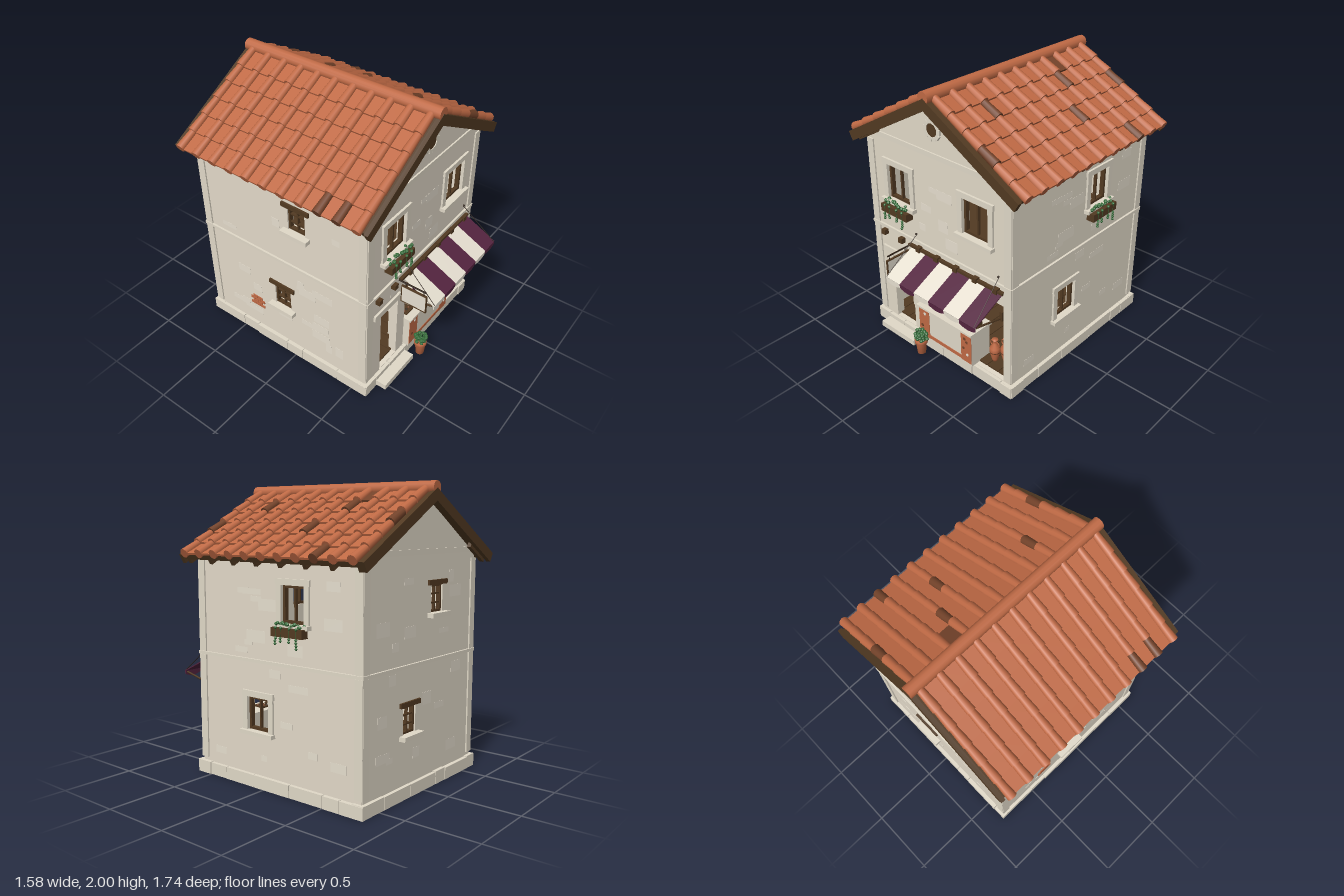
import * as THREE from 'three';

const mat = (name, color) => Object.assign(new THREE.MeshStandardMaterial({ color }), { name });
const M = {
  plaster: mat('plaster', 0xe3dac9), patch: mat('plaster patch', 0xe9e1d1), stone: mat('pale stone', 0xe1d9c8),
  tile: mat('terracotta', 0xc06a45), burnt: mat('burnt tile', 0x74432a), wood: mat('dark wood', 0x523a22),
  iron: mat('iron', 0x2d2016), purple: mat('purple cloth', 0x54243f), cream: mat('cream cloth', 0xe9e2d3),
  leaf: mat('leaf green', 0x376e3b),
};

let seed = 7;
const rand = () => (seed = (seed * 16807) % 2147483647) / 2147483647;

function add(parent, name, geo, m, x = 0, y = 0, z = 0) {
  const mesh = new THREE.Mesh(geo, m);
  mesh.name = name;
  mesh.position.set(x, y, z);
  parent.add(mesh);
  return mesh;
}
const box = (p, name, m, w, h, d, x, y, z) => add(p, name, new THREE.BoxGeometry(w, h, d), m, x, y, z);
// box given by its limits
const span = (p, name, m, x0, x1, y0, y1, z0, z1) =>
  box(p, name, m, x1 - x0, y1 - y0, z1 - z0, (x0 + x1) / 2, (y0 + y1) / 2, (z0 + z1) / 2);
function group(parent, name, x = 0, y = 0, z = 0) {
  const g = new THREE.Group();
  g.name = name;
  g.position.set(x, y, z);
  parent.add(g);
  return g;
}
function rod(p, name, m, a, b, r) {
  const curve = new THREE.LineCurve3(new THREE.Vector3(...a), new THREE.Vector3(...b));
  return add(p, name, new THREE.TubeGeometry(curve, 1, r, 6), m);
}
const lathe = (p, name, m, pts, x, y, z) =>
  add(p, name, new THREE.LatheGeometry(pts.map(q => new THREE.Vector2(...q)), 16), m, x, y, z);
const leafBall = (p, r, x, y, z) => add(p, 'leaf', new THREE.IcosahedronGeometry(r, 0), M.leaf, x, y, z);

// One house face in local coordinates; holes are [u0, u1, y0, y1]
function face(parent, name, half, gable, holes, pos, turn) {
  const g = group(parent, name, ...pos);
  g.rotation.y = turn;
  const s = new THREE.Shape();
  s.moveTo(-half, 0.03); s.lineTo(half, 0.03); s.lineTo(half, 1.53);
  if (gable) s.lineTo(0, 1.91);
  s.lineTo(-half, 1.53);
  for (const [a, b, c, d] of holes) {
    const h = new THREE.Path();
    h.moveTo(a, c); h.lineTo(a, d); h.lineTo(b, d); h.lineTo(b, c);
    s.holes.push(h);
  }
  add(g, 'wall', new THREE.ExtrudeGeometry(s, { depth: 0.06, bevelEnabled: false }), M.plaster, 0, 0, -0.06);
  for (const k of [-1, 1]) for (const [y0, y1] of [[0.11, 0.84], [0.865, 1.5]])
    box(g, 'corner pilaster', M.stone, 0.06, y1 - y0, 0.012, k * (half - 0.02), (y0 + y1) / 2, 0.004);
  box(g, 'floor band', M.stone, half * 2 + 0.03, 0.022, 0.015, 0, 0.853, 0.0075);
  if (gable) box(g, 'gable band', M.stone, 1.26, 0.035, 0.012, 0, 1.56, 0.005);
  // plinth blocks of uneven size
  for (let u = -half - 0.03; u < half + 0.025;) {
    let e = Math.min(u + 0.12 + rand() * 0.2, half + 0.03);
    if (half + 0.03 - e < 0.08) e = half + 0.03;
    span(g, 'plinth block', M.stone, u + 0.002, e - 0.002, 0, 0.082 + rand() * 0.006, -0.06, 0.022 + rand() * 0.008);
    u = e;
  }
  // slightly paler plaster patches, clear of the openings
  for (let i = 0; i < 22; i++) {
    const w = 0.05 + rand() * 0.13, h = 0.03 + rand() * 0.06;
    const u = (rand() - 0.5) * (half * 2 - 0.34), y = 0.18 + rand() * 1.22;
    const hit = holes.some(([a, b, c, d]) => u + w / 2 > a - 0.05 && u - w / 2 < b + 0.05 && y + h / 2 > c - 0.05 && y - h / 2 < d + 0.05);
    if (!hit && Math.abs(y - 0.853) > 0.06) box(g, 'plaster patch', M.patch, w, h, 0.002, u, y, 0);
  }
  return g;
}

// Wooden frame with bars inside an opening
function sash(g, [a, b, c, d], t, cols, rows) {
  for (const x of [a + t / 2, b - t / 2]) box(g, 'window stile', M.wood, t, d - c, 0.03, x, (c + d) / 2, -0.025);
  for (const y of [c + t / 2, d - t / 2]) box(g, 'window rail', M.wood, b - a, t, 0.028, (a + b) / 2, y, -0.025);
  for (let i = 1; i < cols; i++) box(g, 'window bar', M.wood, t * 0.7, d - c, 0.02, a + (b - a) * i / cols, (c + d) / 2, -0.025);
  for (let i = 1; i < rows; i++) box(g, 'window bar', M.wood, b - a, t * 0.7, 0.018, (a + b) / 2, c + (d - c) * i / rows, -0.025);
}
function dressedWindow(g, o) {
  const [a, b, c, d] = o;
  sash(g, o, 0.018, 2, 1);
  for (const [x0, x1] of [[a - 0.04, a], [b, b + 0.04]]) span(g, 'window jamb', M.stone, x0, x1, c, d, -0.01, 0.014);
  span(g, 'window head', M.stone, a - 0.045, b + 0.045, d, d + 0.04, -0.01, 0.016);
  span(g, 'window sill', M.stone, a - 0.05, b + 0.05, c - 0.026, c, -0.03, 0.04);
}
function rusticWindow(g, o) {
  const [a, b, c, d] = o;
  sash(g, o, 0.014, 2, 3);
  span(g, 'wooden lintel', M.wood, a - 0.04, b + 0.04, d, d + 0.032, -0.03, 0.015);
  span(g, 'window sill', M.stone, a - 0.04, b + 0.04, c - 0.03, c, -0.03, 0.045);
}
function flowerBox(g, u, y) {
  const f = group(g, 'flower box', u, y, 0.043);
  box(f, 'planter', M.wood, 0.256, 0.056, 0.058, 0, 0, 0);
  for (let i = 0; i < 14; i++) leafBall(f, 0.009 + rand() * 0.007, -0.11 + i * 0.017, 0.036 + rand() * 0.024, (rand() - 0.5) * 0.04);
  for (const [x, n] of [[-0.085, 3], [-0.04, 2], [0.03, 2], [0.085, 4]]) {
    rod(f, 'trailing stem', M.leaf, [x, 0.03, 0.032], [x, -0.03 - n * 0.016, 0.032], 0.0015);
    for (let i = 0; i < n; i++) leafBall(f, 0.01, x + (rand() - 0.5) * 0.01, -0.035 - i * 0.018, 0.033);
    leafBall(f, 0.011, x, 0.03, 0.03);
  }
}

function roof(parent) {
  const r = group(parent, 'roof', 0, 0, -0.0975);
  const step = 0.1415, len = 0.139;
  // burnt cover tiles as side:row:course
  const burntTiles = ['0:-5:2', '0:-3:5', '0:-2:1', '0:-1:3', '0:3:1', '0:5:3', '1:-3:5', '1:-4:5'];
  for (let side = 0; side < 2; side++) {
    const turn = group(r, 'roof side', 0, 1.95, 0);
    turn.rotation.y = side * Math.PI;
    const s = group(turn, 'roof slope');
    s.rotation.z = -0.513;
    span(s, 'roof boards', M.wood, 0, 0.855, -0.04, -0.004, -0.755, 0.755);
    for (const k of [-1, 1]) box(s, 'bargeboard', M.wood, 0.872, 0.068, 0.03, 0.43, -0.03, k * 0.762);
    for (let i = 0; i < 8; i++) box(s, 'rafter tail', M.wood, 0.22, 0.035, 0.028, 0.74, -0.057, -0.72 + i * 0.2057);
    for (let c = 0; c < 6; c++) {
      const x = 0.035 + (c + 0.5) * len;
      for (let i = -5; i <= 5; i++) {
        const m = burntTiles.includes(`${side}:${i}:${c}`) ? M.burnt : M.tile;
        const t = add(s, 'cover tile', new THREE.CylinderGeometry(0.026, 0.033, len + 0.015, 12), m, x, 0.016, i * step);
        t.rotation.z = Math.PI / 2 + 0.05;
        if (i === 5) continue;
        const pan = box(s, 'pan tile', side === 0 && i === -3 && c === 0 ? M.burnt : M.tile, len + 0.012, 0.014, step - 0.004, x, 0.008, (i + 0.5) * step);
        pan.rotation.z = 0.1;
      }
    }
  }
  const ridge = add(r, 'ridge cap', new THREE.CylinderGeometry(0.043, 0.043, 1.55, 12), M.tile, 0, 1.957, 0);
  ridge.rotation.x = Math.PI / 2;
}

function awning(parent) {
  const a = group(parent, 'awning');
  const w = 0.138, ang = 0.456;
  for (let i = 0; i < 6; i++) {
    const m = i % 2 ? M.purple : M.cream, x = -0.248 + (i + 0.5) * w;
    box(a, 'awning stripe', m, w, 0.007, 0.284, x, 0.738, 0.738).rotation.x = ang;
    const s = new THREE.Shape();
    s.moveTo(-w / 2, 0); s.lineTo(-w / 2, -0.026); s.quadraticCurveTo(0, -0.056, w / 2, -0.026); s.lineTo(w / 2, 0);
    add(a, 'valance', new THREE.ExtrudeGeometry(s, { depth: 0.006, bevelEnabled: false }), m, x, 0.676, 0.859);
  }
  span(a, 'awning beam', M.wood, -0.28, 0.59, 0.798, 0.815, 0.6, 0.63);
  for (const [top, x] of [[-0.21, -0.24], [0.54, 0.57]]) {
    rod(a, 'tie rod', M.iron, [top, 0.91, 0.6], [x, 0.68, 0.865], 0.0025);
    add(a, 'wall pin', new THREE.SphereGeometry(0.008, 8, 6), M.iron, top, 0.91, 0.61);
    rod(a, 'awning strut', M.wood, [x, 0.61, 0.61], [x, 0.668, 0.85], 0.007);
    span(a, 'strut bracket', M.wood, x - 0.01, x + 0.01, 0.59, 0.66, 0.6, 0.622);
  }
  // blank hanging board on an iron arm
  rod(a, 'board arm', M.iron, [-0.28, 0.797, 0.6], [-0.28, 0.797, 0.82], 0.006);
  span(a, 'hanging board', M.cream, -0.285, -0.275, 0.63, 0.76, 0.635, 0.82);
  for (const z of [0.66, 0.8]) rod(a, 'board hanger', M.iron, [-0.28, 0.76, z], [-0.28, 0.797, z], 0.003);
  for (const y of [0.627, 0.763]) span(a, 'board edge', M.wood, -0.287, -0.273, y - 0.004, y + 0.004, 0.635, 0.82);
  for (const z of [0.632, 0.822]) span(a, 'board edge', M.wood, -0.287, -0.273, 0.623, 0.767, z - 0.003, z + 0.003);
}

function amphora(p, x, z, k) {
  const g = group(p, 'amphora', x, 0.1, z);
  g.scale.setScalar(k);
  lathe(g, 'jar body', M.tile, [[0, 0], [0.018, 0], [0.024, 0.02], [0.04, 0.085], [0.037, 0.115], [0.016, 0.15], [0.016, 0.172], [0.023, 0.185], [0, 0.185]], 0, 0, 0);
  add(g, 'jar band', new THREE.CylinderGeometry(0.0405, 0.0385, 0.008, 16), M.burnt, 0, 0.082, 0);
  for (const s of [-1, 1]) add(g, 'jar handle', new THREE.TorusGeometry(0.022, 0.004, 6, 12), M.tile, s * 0.018, 0.145, 0);
}

function shop(parent) {
  const s = group(parent, 'shop');
  // counter with terracotta facing
  span(s, 'counter', M.stone, -0.18, 0.33, 0.09, 0.35, 0.47, 0.65);
  span(s, 'counter top', M.stone, -0.195, 0.34, 0.35, 0.365, 0.455, 0.665);
  for (const [a, b, c, d] of [[-0.18, -0.08, 0.11, 0.345], [0.235, 0.33, 0.11, 0.345], [-0.08, 0.235, 0.115, 0.142]])
    span(s, 'facing panel', M.tile, a, b, c, d, 0.65, 0.654);
  for (const [x, y, m] of [[-0.12, 0.31, M.cream], [-0.15, 0.2, M.burnt], [0.27, 0.3, M.burnt], [0.29, 0.28, M.burnt], [0.295, 0.175, M.cream], [0.26, 0.22, M.burnt]])
    add(s, 'inlay chip', new THREE.CylinderGeometry(0.012, 0.012, 0.004, 6), m, x, y, 0.655).rotation.x = Math.PI / 2;
  for (const x of [-0.12, -0.02, 0.1]) {
    box(s, 'tray', M.wood, 0.085, 0.01, 0.1, x, 0.37, 0.56);
    for (let i = 0; i < 6; i++) add(s, 'goods', new THREE.SphereGeometry(0.009, 8, 6), i % 2 ? M.burnt : M.iron, x - 0.026 + (i % 3) * 0.026, 0.374, 0.54 + Math.floor(i / 3) * 0.04);
  }
  box(s, 'counter box', M.wood, 0.07, 0.045, 0.06, 0.275, 0.388, 0.55);
  rod(s, 'scale post', M.iron, [0.245, 0.365, 0.52], [0.245, 0.46, 0.52], 0.003);
  rod(s, 'scale arm', M.iron, [0.2, 0.45, 0.52], [0.29, 0.45, 0.52], 0.002);
  // back shelves
  for (const x of [-0.16, 0.31]) span(s, 'shelf post', M.wood, x - 0.01, x + 0.01, 0.09, 0.565, -0.72, -0.6);
  for (const [y, a, b] of [[0.415, -0.17, 0.32], [0.55, -0.17, 0.07], [0.55, 0.23, 0.32], [0.36, -0.17, 0.32]])
    span(s, 'shelf', M.wood, a, b, y - 0.006, y + 0.006, -0.73, -0.6);
  for (let i = 0; i < 6; i++) lathe(s, 'bowl', i % 2 ? M.burnt : M.wood, [[0, 0], [0.008, 0], [0.015, 0.012], [0, 0.01]], -0.12 + i * 0.075, 0.421, -0.65);
  // banners under the awning
  for (const x of [0.003, 0.325]) {
    box(s, 'banner', M.purple, 0.145, 0.118, 0.006, x, 0.558, 0.59);
    for (const k of [-0.06, 0.06]) rod(s, 'banner cord', M.iron, [x + k, 0.61, 0.59], [x + k, 0.71, 0.59], 0.002);
    for (let i = 0; i < 7; i++) {
      const t = Math.PI * (1 + i / 6);
      add(s, 'banner bead', new THREE.OctahedronGeometry(0.007), M.burnt, x + 0.04 * Math.cos(t), 0.58 + 0.04 * Math.sin(t), 0.593);
    }
  }
  // doorway bench, keg and jars
  span(s, 'bench', M.stone, -0.48, -0.335, 0.09, 0.21, 0.3, 0.45);
  add(s, 'keg', new THREE.CylinderGeometry(0.033, 0.033, 0.095, 12), M.wood, -0.433, 0.245, 0.39).rotation.z = Math.PI / 2;
  for (const x of [-0.463, -0.403]) add(s, 'keg hoop', new THREE.CylinderGeometry(0.035, 0.035, 0.008, 12), M.iron, x, 0.245, 0.39).rotation.z = Math.PI / 2;
  amphora(s, 0.408, 0.5, 0.98);
  amphora(s, 0.478, 0.46, 1.08);
  span(s, 'wall shelf', M.wood, -0.58, -0.5, 0.465, 0.475, -0.03, 0.07);
  lathe(s, 'shelf jar', M.tile, [[0, 0], [0.014, 0], [0.023, 0.025], [0.014, 0.04], [0.018, 0.046], [0, 0.046]], -0.54, 0.475, 0.015);
  // street step and potted plant
  span(s, 'door step', M.stone, -0.55, -0.2, 0.012, 0.055, 0.6, 0.708);
  lathe(s, 'plant pot', M.tile, [[0, 0.01], [0.03, 0.01], [0.039, 0.1], [0.046, 0.1], [0.046, 0.125], [0.036, 0.125], [0, 0.118]], -0.112, 0, 0.71);
  for (let i = 0; i < 30; i++) {
    const t = i * 2.4, q = 0.042 * Math.sqrt(rand());
    leafBall(s, 0.015, -0.112 + q * Math.cos(t), 0.128 + rand() * 0.058, 0.71 + q * Math.sin(t));
  }
}

export function createModel() {
  const root = new THREE.Group();
  root.name = 'shop house';
  const fw = [[-0.46, -0.245, 1.105, 1.36], [0.24, 0.46, 1.105, 1.36]];
  const rw = [[0.065, 0.255, 1.12, 1.36], [-0.245, -0.055, 0.385, 0.61]];
  const bw = [[0.085, 0.225, 1.165, 1.345], [-0.22, -0.08, 0.415, 0.595]];
  const lw = [[0.075, 0.215, 1.165, 1.345], [-0.085, 0.055, 0.415, 0.595]];
  const front = face(root, 'front', 0.64, true, [...fw, [-0.48, -0.28, 0.09, 0.645], [-0.19, 0.583, 0.09, 0.7]], [0, 0, 0.605], 0);
  const back = face(root, 'back', 0.64, true, bw, [0, 0, -0.79], Math.PI);
  const right = face(root, 'window side', 0.692, false, rw, [0.645, 0, -0.095], Math.PI / 2);
  const left = face(root, 'brick side', 0.692, false, lw, [-0.645, 0, -0.095], -Math.PI / 2);
  for (const o of fw) dressedWindow(front, o);
  for (const o of rw) dressedWindow(right, o);
  for (const o of bw) rusticWindow(back, o);
  for (const o of lw) rusticWindow(left, o);
  flowerBox(front, -0.352, 1.05);
  flowerBox(right, 0.16, 1.072);

  // exposed bricks
  for (let r = 0; r < 4; r++) for (let i = 0; i < 3 - (r % 2); i++)
    box(left, 'exposed brick', M.tile, 0.042, 0.02, 0.008, -0.31 + i * 0.044 + (r % 2) * 0.022, 0.285 + r * 0.023, 0.003);

  // round gable vent
  add(front, 'vent', new THREE.CylinderGeometry(0.045, 0.045, 0.014, 20), M.wood, 0, 1.735, 0.004).rotation.x = Math.PI / 2;
  for (let i = 0; i < 10; i++) {
    const t = i * Math.PI / 5;
    box(front, 'vent stone', M.stone, 0.028, 0.036, 0.02, 0.058 * Math.cos(t), 1.735 + 0.058 * Math.sin(t), 0.006).rotation.z = t;
  }
  // door lintel and beam ends
  span(front, 'door lintel', M.stone, -0.565, -0.27, 0.64, 0.685, -0.02, 0.016);
  for (let i = 0; i < 7; i++) box(front, 'beam end', M.wood, 0.038, 0.038, 0.04, -0.532 + i * 0.177, 0.808, 0.014);

  // floors, underside and joists
  span(root, 'underside', M.wood, -0.6, 0.6, 0.008, 0.03, -0.76, 0.57);
  span(root, 'shop floor', M.wood, -0.6, 0.6, 0.06, 0.088, -0.74, 0.56);
  for (let i = 0; i < 12; i++) span(root, 'floor plank', M.wood, -0.595 + i * 0.1, -0.5 + i * 0.1, 0.088, 0.102, -0.73, 0.57);
  span(root, 'upper floor', M.wood, -0.59, 0.59, 0.84, 0.865, -0.74, 0.55);
  span(root, 'attic floor', M.wood, -0.59, 0.59, 1.48, 1.5, -0.74, 0.55);
  for (let i = 0; i < 7; i++) span(root, 'joist', M.wood, -0.55 + i * 0.177, -0.514 + i * 0.177, 0.79, 0.84, -0.74, 0.55);

  roof(root);
  awning(root);
  shop(root);
  return root;
}
